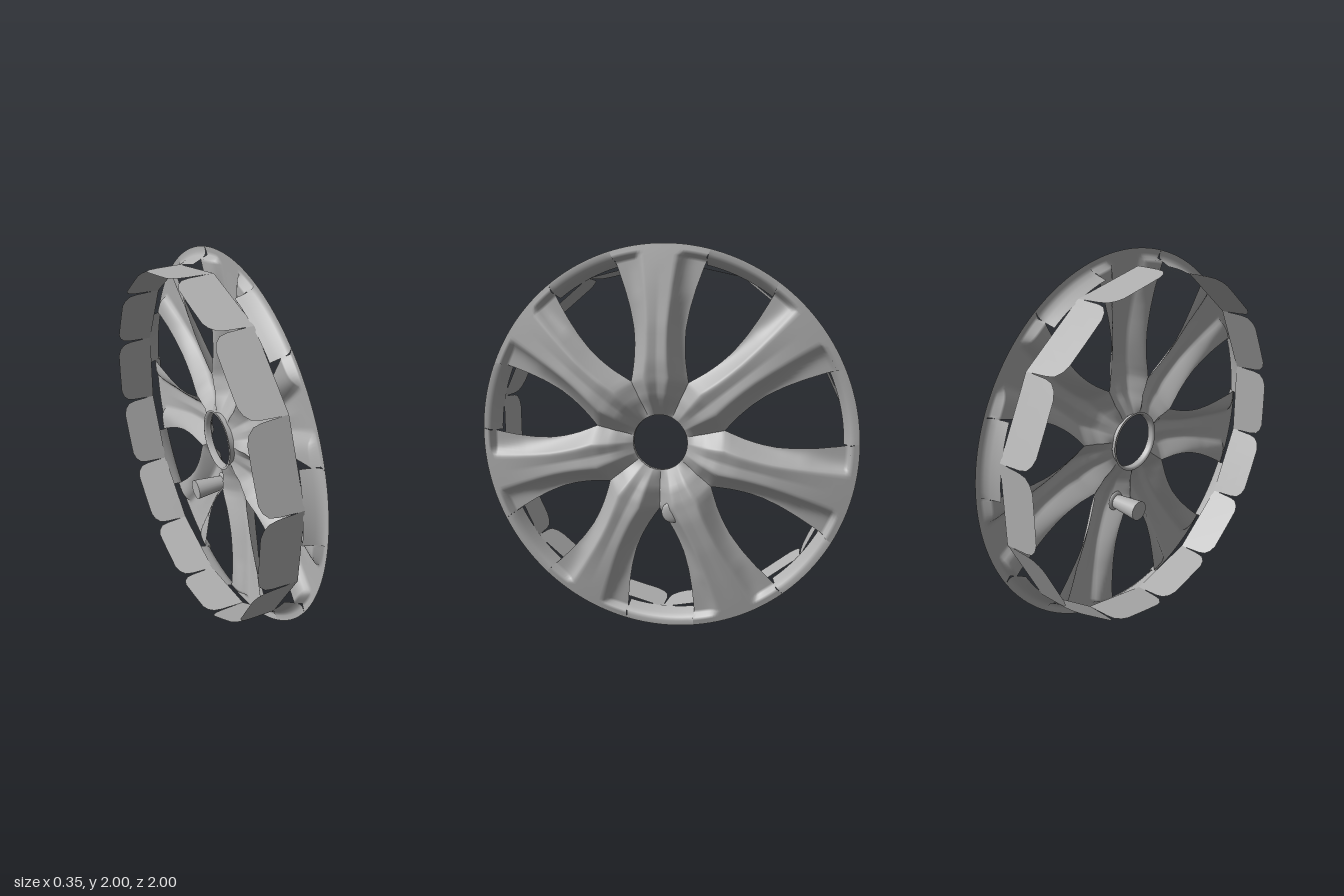
import * as THREE from 'three';

const SECTOR = Math.PI / 7; // half the angle of one of the seven spoke sectors

// Piecewise-linear lookup through [input, output] pairs
function lookup(pairs, v) {
  if (v <= pairs[0][0]) return pairs[0][1];
  for (let i = 1; i < pairs.length; i++) {
    const [a, b] = [pairs[i - 1], pairs[i]];
    if (v <= b[0]) return a[1] + (b[1] - a[1]) * (v - a[0]) / (b[0] - a[0]);
  }
  return pairs[pairs.length - 1][1];
}

// Grid surface; fn(u, v) returns [axial x, radius, angle from straight up]
function sheet(us, vs, fn) {
  const pos = [], idx = [], n = vs.length;
  for (const u of us) for (const v of vs) {
    const [x, r, a] = fn(u, v);
    pos.push(x, r * Math.cos(a), r * Math.sin(a));
  }
  for (let i = 0; i < us.length - 1; i++) for (let j = 0; j < n - 1; j++) {
    const p = i * n + j;
    idx.push(p, p + n, p + 1, p + 1, p + n, p + n + 1);
  }
  const g = new THREE.BufferGeometry();
  g.setAttribute('position', new THREE.Float32BufferAttribute(pos, 3));
  g.setIndex(idx);
  g.computeVertexNormals();
  return g;
}

const range = (a, b, n) => Array.from({ length: n + 1 }, (_, i) => a + (b - a) * i / n);

// Spoke rules by radius: crown height, edge drop, flank steepness, groove depth
const CROWN = [[0.145, 0.085], [0.19, 0.11], [0.25, 0.145], [0.32, 0.166], [0.42, 0.172],
  [0.6, 0.157], [0.8, 0.13], [0.955, 0.107], [1, 0.1]];
const DROP = [[0.145, 0.005], [0.2, 0.035], [0.3, 0.07], [0.4, 0.083], [0.6, 0.072],
  [0.8, 0.052], [0.945, 0.04], [0.958, 0]];
const STEEP = [[0.2, 1], [0.5, 1.3], [0.75, 2], [0.9, 4.5]];
const GROOVE = [[0.18, 0], [0.3, 1], [0.6, 0.6], [0.9, 0]];
// Half-width of the opening between spokes, by radius
const OPENING = [[0.35, 0], [0.39, 0.028], [0.45, 0.065], [0.52, 0.1], [0.6, 0.131],
  [0.7, 0.156], [0.8, 0.172], [0.9, 0.182], [0.955, 0.185]];

const openAngle = r => Math.asin(lookup(OPENING, r) / r);

function spokePoint(r, s) {
  const u = THREE.MathUtils.clamp((Math.abs(s) - 0.42) / 0.58, 0, 1);
  const flank = lookup(DROP, r) * (1 - Math.pow(1 - u, lookup(STEEP, r)));
  const groove = 0.01 * Math.max(0, 1 - Math.abs(s) / 0.3) * lookup(GROOVE, r);
  return [lookup(CROWN, r) - flank - groove, r, s * (SECTOR - openAngle(r))];
}

export function createModel() {
  const model = new THREE.Group();
  model.name = 'wheelCover';
  const wheel = new THREE.Group();
  wheel.name = 'wheel';
  wheel.position.y = 1;
  model.add(wheel);

  const grey = new THREE.MeshStandardMaterial({ color: 0xb0b0b0, side: THREE.DoubleSide });
  grey.name = 'plasticGrey';

  const add = (geometry, name, angle = 0) => {
    const m = new THREE.Mesh(geometry, grey);
    m.name = name;
    m.rotation.x = angle;
    wheel.add(m);
    return m;
  };

  // Seven spokes with a raised crown and recessed flanks, running out to the rim edge
  const radii = [...range(0.145, 0.35, 10), ...range(0.38, 0.93, 18), 0.945, 0.958, 0.975, 1];
  const spoke = sheet(radii, range(-1, 1, 32), spokePoint);

  // Rim section at each opening, curving back into a wall
  const RIM = [[1, 0.1], [0.975, 0.102], [0.957, 0.094], [0.943, 0.07], [0.932, 0.045], [0.923, 0.022]];
  const rim = sheet(RIM, range(-1, 1, 12), ([r, x], s) => [x, r, SECTOR + s * openAngle(r)]);

  for (let k = 0; k < 7; k++) {
    add(spoke, 'spoke', k * 2 * SECTOR);
    add(rim, 'rimSection', k * 2 * SECTOR);
  }

  // Fourteen flat retaining flaps with rounded ends behind the rim
  const TAB = [[0, -0.18], [0.62, -0.179], [0.8, -0.166], [0.93, -0.14], [0.975, -0.1], [1, -0.005]];
  const cols = TAB.slice(1).map(p => p[0]);
  const across = [...cols.map(c => -c).reverse(), -0.35, 0, 0.35, ...cols];
  const flapHalf = SECTOR / 2;
  const flap = sheet([0, 0.3, 0.65, 1], across, (u, s) => {
    const x = 0.028 + (lookup(TAB, Math.abs(s)) - 0.028) * u;
    return [x, 0.906 / Math.cos(s * flapHalf), s * flapHalf];
  });
  for (let k = 0; k < 14; k++) add(flap, 'retainingFlap', (k + 0.5) * SECTOR);

  // Collar around the centre hole
  const COLLAR = [[0.085, 0.145], [0.06, 0.146], [0.048, 0.152], [0.05, 0.163]];
  add(sheet(COLLAR, range(0, 2 * Math.PI, 56), (p, a) => [...p, a]), 'hubCollar');

  // Valve pocket: tapered peg behind one spoke and its shallow bump in front
  const peg = add(new THREE.CylinderGeometry(0.04, 0.055, 0.16, 24), 'valvePeg');
  peg.rotation.z = -Math.PI / 2;
  peg.position.set(0.04, -0.36, -0.075);
  const bump = add(new THREE.SphereGeometry(0.055, 24, 12), 'valveBump');
  bump.scale.x = 0.3;
  bump.position.set(0.132, -0.358, -0.075);

  return model;
}
